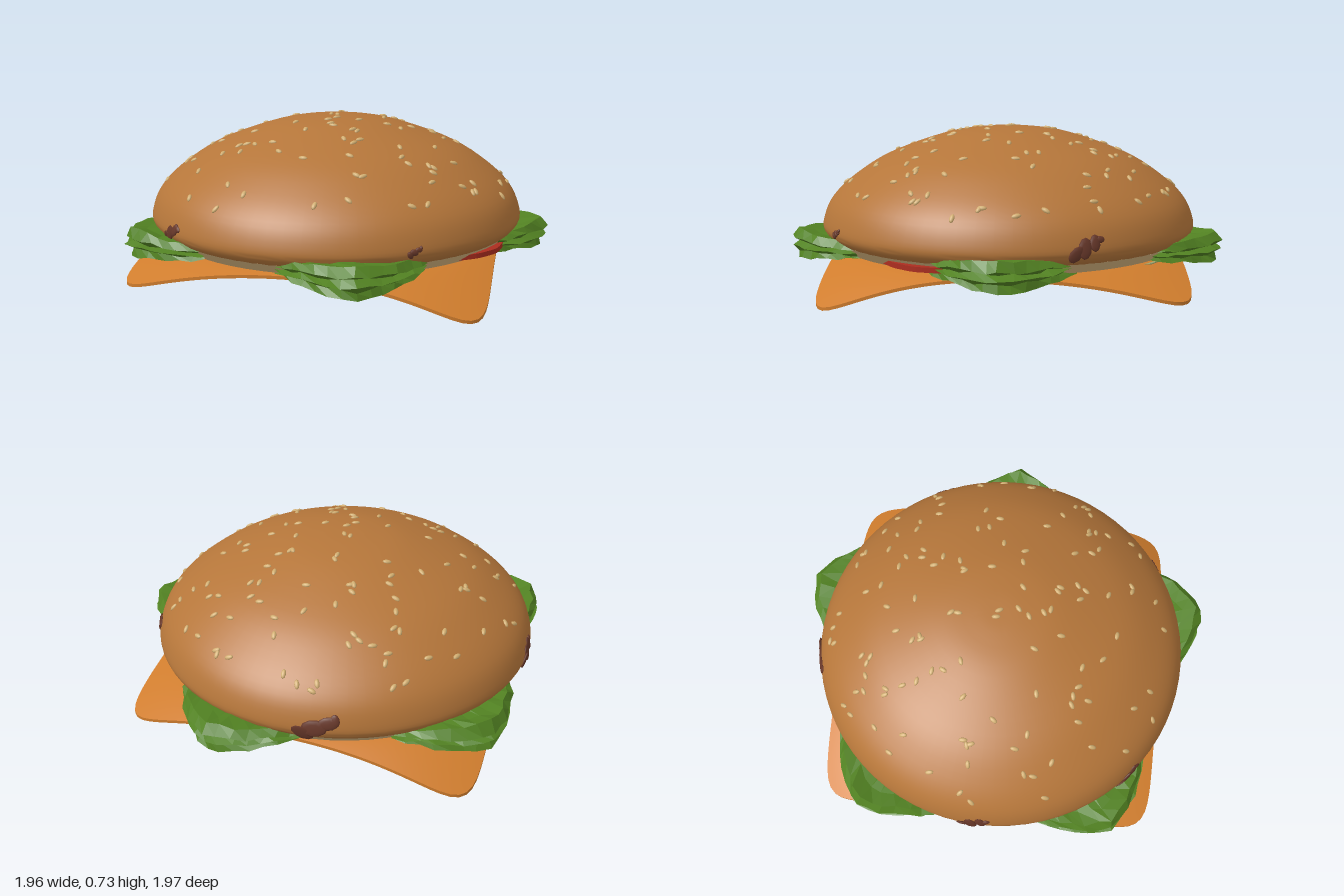
import * as THREE from 'three';
import { mergeGeometries, toCreasedNormals } from 'three/addons/utils/BufferGeometryUtils.js';

const material = (name, color, extra = {}) => new THREE.MeshStandardMaterial({ name, color, ...extra });
const mats = {
  bun: material('toasted bun', 0xb5763a),
  crumb: material('bun crumb', 0xd2b07c),
  seed: material('sesame', 0xd0ad70),
  cheese: material('cheese', 0xd07d2d),
  lettuce: material('lettuce', 0x528222, { side: THREE.DoubleSide, flatShading: true }),
  tomato: material('tomato', 0xac2d1f),
  pickle: material('pickle', 0x9ca36c),
  sauce: material('sauce', 0x68382a),
  onion: material('onion', 0x9a8088),
};
const DEG = Math.PI / 180;

let state = 7;
const rand = () => (state = (state * 16807) % 2147483647) / 2147483647;

function add(parent, name, geometry, mat) {
  const mesh = new THREE.Mesh(geometry, mat);
  mesh.name = name;
  parent.add(mesh);
  return mesh;
}

// Grid surface through points at(i, j), optionally wrapping round both ways
function grid(ni, nj, at, wrap) {
  const pos = [], index = [];
  for (let i = 0; i < ni; i++) for (let j = 0; j < nj; j++) pos.push(...at(i, j));
  for (let i = 0; i < (wrap ? ni : ni - 1); i++) {
    for (let j = 0; j < (wrap ? nj : nj - 1); j++) {
      const i2 = (i + 1) % ni, j2 = (j + 1) % nj;
      const a = i * nj + j, b = i * nj + j2, c = i2 * nj + j2, d = i2 * nj + j;
      index.push(a, d, b, b, d, c);
    }
  }
  const g = new THREE.BufferGeometry();
  g.setAttribute('position', new THREE.Float32BufferAttribute(pos, 3));
  g.setIndex(index);
  g.computeVertexNormals();
  return g;
}

// Bun profile from lower lip to crown
const BUN = new THREE.Vector3(-0.02, 0, -0.06);
const profile = new THREE.SplineCurve([
  [0.74, 0.205], [0.83, 0.215], [0.88, 0.25], [0.888, 0.3], [0.845, 0.4], [0.74, 0.5],
  [0.57, 0.605], [0.3, 0.7], [0.12, 0.729], [0, 0.733],
].map(([x, y]) => new THREE.Vector2(x, y)));
const samples = profile.getPoints(200);

// Point and outward normal of the bun at a given angle and profile sample
function onBun(angle, sample) {
  const k = Math.min(Math.max(samples.indexOf(sample), 1), 199);
  const t = samples[k + 1].clone().sub(samples[k - 1]).normalize();
  const c = Math.cos(angle), s = Math.sin(angle);
  return {
    point: new THREE.Vector3(c * sample.x, sample.y, s * sample.x).add(BUN),
    normal: new THREE.Vector3(c * t.y, -t.x, s * t.y).normalize(),
  };
}

function ellipsoidOn(place, sx, sy, sz, spin, ws = 8, hs = 6) {
  const q = new THREE.Quaternion().setFromUnitVectors(new THREE.Vector3(0, 1, 0), place.normal)
    .multiply(new THREE.Quaternion().setFromAxisAngle(new THREE.Vector3(0, 1, 0), spin));
  return new THREE.SphereGeometry(1, ws, hs)
    .applyMatrix4(new THREE.Matrix4().compose(place.point, q, new THREE.Vector3(sx, sy, sz)));
}

function buildBun(group) {
  const lathe = new THREE.LatheGeometry([new THREE.Vector2(0, 0.205), ...profile.getPoints(40)], 72);
  add(group, 'topBun', toCreasedNormals(lathe, 0.9), mats.bun).position.copy(BUN);
  const crumb = add(group, 'bunUnderside', new THREE.CylinderGeometry(0.855, 0.82, 0.042, 64), mats.crumb);
  crumb.position.set(BUN.x, 0.206, BUN.z);

  // Sesame seeds scattered over the crown
  const seeds = [];
  for (let n = 0; n < 130; n++) {
    const r = 0.84 * Math.sqrt(rand());
    const sample = samples.find((p) => p.y > 0.36 && p.x <= r) || samples[199];
    seeds.push(ellipsoidOn(onBun(rand() * 2 * Math.PI, sample), 0.021, 0.009, 0.011, rand() * 6.28));
  }
  add(group, 'sesameSeeds', mergeGeometries(seeds), mats.seed);

  // Sauce smears round the rim: angle, height, size
  const smears = [];
  for (const [deg, y, size] of [[70, 0.285, 0.45], [146, 0.28, 0.9], [-9, 0.295, 1], [-86, 0.295, 1.25], [-163, 0.29, 1]]) {
    for (const [da, dy, s] of [[-3, 0.02, 0.8], [0, 0, 1], [2.5, -0.02, 0.9], [-4.5, 0.03, 0.5]]) {
      const sample = samples.find((p) => p.y >= y + dy * size);
      smears.push(ellipsoidOn(onBun((deg + da * size) * DEG, sample), 0.045 * s * size, 0.008, 0.03 * s * size, da, 10, 6));
    }
  }
  add(group, 'sauceSmears', mergeGeometries(smears), mats.sauce);
}

// Rounded square slice with drooping corners and an open middle
function buildCheese(group) {
  const inner = 0.76, steps = 10, thick = 0.014;
  const g = grid(180, steps * 2, (i, j) => {
    const a = (i / 180) * 2 * Math.PI, c = Math.abs(Math.cos(a)), s = Math.abs(Math.sin(a));
    const outer = 0.803 / Math.pow(c ** 12 + s ** 12, 1 / 12);
    const top = j < steps, k = (top ? j : 2 * steps - 1 - j) / (steps - 1);
    const r = inner + (outer - inner) * k;
    const world = a + 14 * DEG;
    const droop = 0.69 * (0.85 - 0.15 * Math.cos(2 * (world + 32 * DEG)));
    const y = 0.175 - droop * Math.pow(r - inner, 1.3) - (top ? 0 : thick);
    return [r * Math.cos(world) - 0.025, Math.max(y, 0), r * Math.sin(world) - 0.065];
  }, true);
  add(group, 'cheeseSlice', toCreasedNormals(g, 0.9), mats.cheese);
}

// Five crumpled leaves with a pleated rim: [inset from rim, height]
function buildLettuce(group) {
  const pleats = [[0.3, 0.04], [0.1, 0.055], [0.03, 0.07], [0, 0.025], [0.04, 0.005], [0, -0.015], [0.035, -0.035], [0.02, -0.07], [0.12, -0.045], [0.3, -0.02]];
  for (const [deg, tip] of [[87, 1.03], [13, 1.01], [-60, 1.04], [-131, 1.06], [158, 1.05]]) {
    const leaf = grid(15, pleats.length, (i, j) => {
      const t = i / 7 - 1, m = Math.abs(t);
      const [inset, h] = pleats[j];
      const outer = tip - 0.19 * Math.pow(m, 1.25);
      const r = Math.max(outer - inset - 0.015 * rand(), 0.72);
      const a = deg * DEG + t * 0.4 + (rand() - 0.5) * 0.02;
      const y = 0.212 + h * (1 - 0.6 * m) + (rand() - 0.5) * 0.016;
      return [r * Math.cos(a) - 0.01, y, r * Math.sin(a) - 0.05];
    }, false);
    add(group, 'lettuceLeaf', leaf, mats.lettuce);
  }
}

// Thin flat slice with an uneven outline; y is its lower face
function slice(group, name, mat, x, z, r, y, depth, wobble) {
  const pts = [];
  const n = 72, phase = rand() * 6;
  for (let i = 0; i < n; i++) {
    const a = (i / n) * 2 * Math.PI;
    const rr = r * (1 + wobble * (Math.sin(3 * a + phase) + 0.6 * Math.sin(7 * a + 2 * phase) + 0.5 * Math.sin(17 * a)));
    pts.push(new THREE.Vector2(rr * Math.cos(a), rr * Math.sin(a)));
  }
  const g = new THREE.ExtrudeGeometry(new THREE.Shape(pts), { depth, bevelEnabled: false });
  g.rotateX(-Math.PI / 2);
  add(group, name, g, mat).position.set(x, y, z);
}

function buildFillings(group) {
  slice(group, 'sauceLayer', mats.sauce, -0.07, -0.06, 0.62, 0.177, 0.009, 0.045);
  for (const [x, z, r] of [[0.12, -0.42, 0.33], [0.42, 0.1, 0.32]]) {
    slice(group, 'tomatoSlice', mats.tomato, x, z, r, 0.163, 0.01, 0.01);
  }
  slice(group, 'tomatoEdge', mats.tomato, 0.42, 0.28, 0.315, 0.191, 0.022, 0.01);
  for (const [x, z, r] of [[0.375, -0.44, 0.26], [0.25, 0.06, 0.19], [-0.24, -0.07, 0.22]]) {
    slice(group, 'pickleSlice', mats.pickle, x, z, r, 0.156, 0.012, 0.03);
    // Sauce fleck in the heart of the slice
    slice(group, 'pickleFleck', mats.sauce, x, z, r * 0.25, 0.153, 0.004, 0.3);
  }
  const strip = new THREE.CatmullRomCurve3([
    [0.08, 0.53], [-0.06, 0.36], [-0.15, 0.16], [-0.12, -0.02], [-0.02, -0.16],
  ].map(([x, z]) => new THREE.Vector3(x, 0.166, z)));
  add(group, 'onionStrip', new THREE.TubeGeometry(strip, 24, 0.016, 8), mats.onion);
}

export function createModel() {
  const group = new THREE.Group();
  group.name = 'burgerTop';
  buildBun(group);
  buildCheese(group);
  buildLettuce(group);
  buildFillings(group);
  return group;
}
